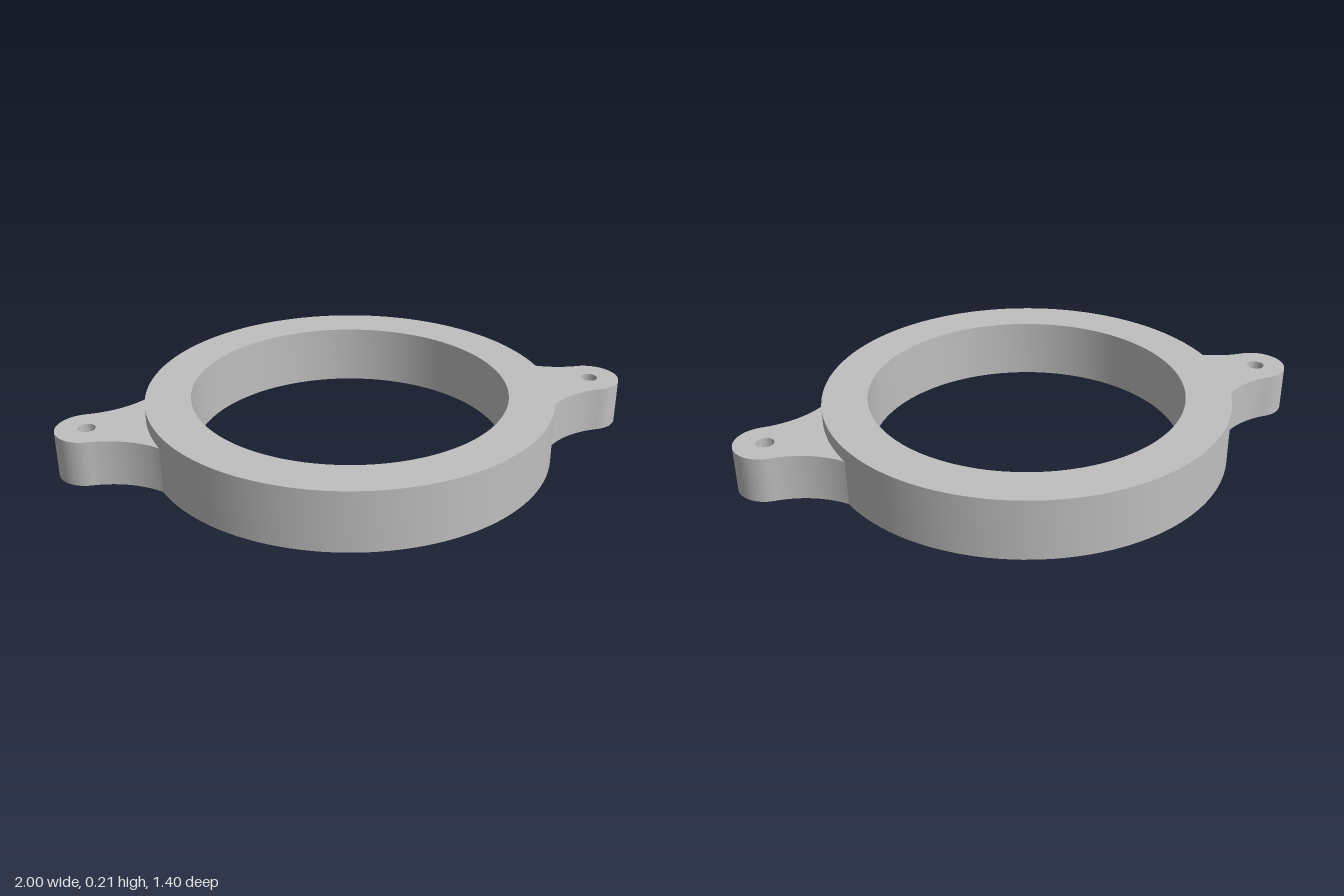
import * as THREE from 'three';
import { toCreasedNormals } from 'three/addons/utils/BufferGeometryUtils.js';

const INNER = 0.545, OUTER = 0.7, RING_H = 0.21;   // ring
const EAR_X = 0.895, EAR_R = 0.105, EAR_H = 0.16;  // mounting ears
const ROOT_Z = 0.2;                                // half width where an ear meets the ring
const BORE_R = 0.03, HOLE_R = 0.017, STEP_H = 0.08; // stepped screw hole

// Ring of rectangular section, standing on y = 0
function tubeGeometry(inner, outer, height, segments) {
  const profile = [[inner, 0], [outer, 0], [outer, height], [inner, height], [inner, 0]]
    .map(([x, y]) => new THREE.Vector2(x, y));
  return toCreasedNormals(new THREE.LatheGeometry(profile, segments), 0.6);
}

// Ear outline: round tip, concave flanks, inner edge following the ring
function earGeometry() {
  const rootX = Math.sqrt(OUTER ** 2 - ROOT_Z ** 2);
  const dx = EAR_X - rootX, dz = ROOT_Z - EAR_R;
  const filletR = (dx * dx + dz * dz) / (2 * dz);
  const filletZ = EAR_R + filletR;
  const rootAngle = Math.atan2(filletZ - ROOT_Z, -dx);
  const ringAngle = Math.asin(ROOT_Z / OUTER);

  const shape = new THREE.Shape();
  shape.moveTo(rootX, -ROOT_Z);
  shape.absarc(EAR_X, -filletZ, filletR, rootAngle, Math.PI / 2, true);
  shape.absarc(EAR_X, 0, EAR_R, -Math.PI / 2, Math.PI / 2, false);
  shape.absarc(EAR_X, filletZ, filletR, -Math.PI / 2, -rootAngle, true);
  shape.absarc(0, 0, OUTER, ringAngle, -ringAngle, true);

  const hole = new THREE.Path();
  hole.absarc(EAR_X, 0, BORE_R, 0, Math.PI * 2, true);
  shape.holes.push(hole);

  const geometry = new THREE.ExtrudeGeometry(shape, { depth: EAR_H, bevelEnabled: false, curveSegments: 24 });
  geometry.rotateX(-Math.PI / 2);
  return toCreasedNormals(geometry, 0.6);
}

export function createModel() {
  const model = new THREE.Group();
  model.name = 'mountingRing';
  const grey = new THREE.MeshStandardMaterial({ color: 0xbfbfbf });
  grey.name = 'lightGrey';

  const add = (parent, name, geometry) => {
    const mesh = new THREE.Mesh(geometry, grey);
    mesh.name = name;
    parent.add(mesh);
    return mesh;
  };

  add(model, 'ring', tubeGeometry(INNER, OUTER, RING_H, 128));

  // Two opposite ears, each with a wide bore above a narrow screw hole
  const ear = earGeometry();
  const step = tubeGeometry(HOLE_R, BORE_R, STEP_H, 48);
  for (const [name, turn] of [['leftEar', 0], ['rightEar', Math.PI]]) {
    const group = new THREE.Group();
    group.name = name;
    group.rotation.y = turn;
    add(group, 'earPlate', ear);
    add(group, 'screwHoleStep', step).position.x = EAR_X;
    model.add(group);
  }
  return model;
}
